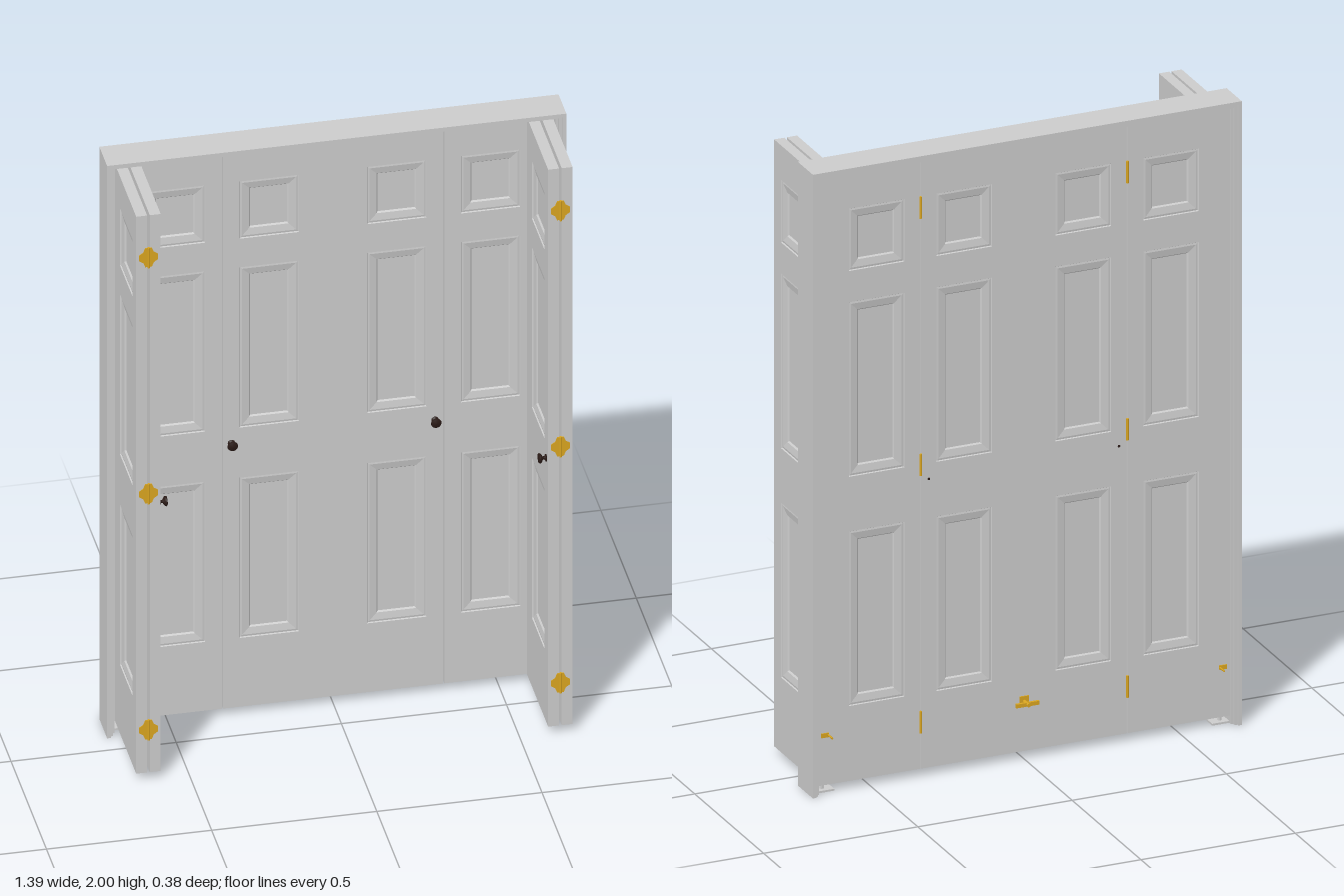
import * as THREE from 'three';

const grey = new THREE.MeshStandardMaterial({ color: 0xcccccc, flatShading: true });
const brass = new THREE.MeshStandardMaterial({ color: 0xd9a520 });
const dark = new THREE.MeshStandardMaterial({ color: 0x2a1a16 });

const LEAF_W = 0.333, Y0 = 0.025, Y1 = 1.971, T = 0.033;
const PANEL_X = [0.05, 0.23];
const PANELS_Y = [[0.265, 0.825], [1.0, 1.56], [1.66, 1.86]];

function add(parent, name, geo, mat, x = 0, y = 0, z = 0) {
  const m = new THREE.Mesh(geo, mat);
  m.name = name;
  m.position.set(x, y, z);
  parent.add(m);
  return m;
}
const box = (w, h, d) => new THREE.BoxGeometry(w, h, d);

function rectPath(P, x0, y0, x1, y1) {
  const p = new P();
  p.moveTo(x0, y0); p.lineTo(x1, y0); p.lineTo(x1, y1); p.lineTo(x0, y1);
  p.closePath();
  return p;
}

// Moulded recess: nested rectangles given as [inset, depth], closed by a flat field
function mouldedPanel(x0, y0, x1, y1) {
  const rings = [[0, 0], [0.002, 0.004], [0.008, 0.003], [0.03, 0.007], [0.034, 0.012]];
  const pos = [], idx = [];
  for (const [i, d] of rings)
    pos.push(x0 + i, y0 + i, -d, x1 - i, y0 + i, -d, x1 - i, y1 - i, -d, x0 + i, y1 - i, -d);
  for (let r = 0; r < rings.length - 1; r++)
    for (let k = 0; k < 4; k++) {
      const a = r * 4 + k, b = r * 4 + (k + 1) % 4;
      idx.push(a, b, b + 4, a, b + 4, a + 4);
    }
  const e = (rings.length - 1) * 4;
  idx.push(e, e + 1, e + 2, e, e + 2, e + 3);
  const g = new THREE.BufferGeometry();
  g.setAttribute('position', new THREE.Float32BufferAttribute(pos, 3));
  g.setIndex(idx);
  const flat = g.toNonIndexed();
  flat.computeVertexNormals();
  return flat;
}

// Door leaf: local x = 0 is the fold edge, both faces panelled
function makeLeaf(name) {
  const leaf = new THREE.Group();
  leaf.name = name;
  const shape = rectPath(THREE.Shape, 0, Y0, LEAF_W, Y1);
  for (const [a, b] of PANELS_Y) shape.holes.push(rectPath(THREE.Path, PANEL_X[0], a, PANEL_X[1], b));
  const core = new THREE.ExtrudeGeometry(shape, { depth: T, bevelEnabled: false });
  add(leaf, 'stilesAndRails', core, grey, 0, 0, -T / 2);
  for (const [a, b] of PANELS_Y) {
    add(leaf, 'raisedPanel', mouldedPanel(PANEL_X[0], a, PANEL_X[1], b), grey, 0, 0, T / 2);
    const back = add(leaf, 'raisedPanel', mouldedPanel(-PANEL_X[1], a, -PANEL_X[0], b), grey, 0, 0, -T / 2);
    back.rotation.y = Math.PI;
  }
  return leaf;
}

// Round knob on a face, with its screw head on the other; dir is the sign of local z
function addKnob(leaf, dir) {
  const profile = [[0, 0], [0.011, 0], [0.011, 0.003], [0.005, 0.006], [0.005, 0.011], [0.013, 0.016],
    [0.016, 0.02], [0.014, 0.024], [0, 0.026]].map(p => new THREE.Vector2(...p));
  const knob = add(leaf, 'knob', new THREE.LatheGeometry(profile, 20), dark, 0.025, 0.95, dir * T / 2);
  knob.rotation.x = dir * Math.PI / 2;
  const screw = add(leaf, 'knobScrew', new THREE.CylinderGeometry(0.004, 0.004, 0.003, 10), dark, 0.025, 0.95, -dir * T / 2);
  screw.rotation.x = Math.PI / 2;
}

// Tapered hinge plate reaching out along +x
function hingePlate() {
  const s = new THREE.Shape();
  s.moveTo(0, -0.033); s.lineTo(0.01, -0.033); s.lineTo(0.016, -0.018); s.lineTo(0.029, -0.009);
  s.lineTo(0.029, 0.009); s.lineTo(0.016, 0.018); s.lineTo(0.01, 0.033); s.lineTo(0, 0.033);
  s.closePath();
  return new THREE.ExtrudeGeometry(s, { depth: 0.002, bevelEnabled: false });
}

function makeSide(name) {
  const side = new THREE.Group();
  side.name = name;

  // Closed pair across the opening
  const inner = makeLeaf('closedInnerLeaf');
  inner.rotation.y = Math.PI;
  inner.position.set(LEAF_W, 0, -0.133);
  addKnob(inner, -1);
  const outer = makeLeaf('closedOuterLeaf');
  outer.position.set(LEAF_W + 0.004, 0, -0.133);
  side.add(inner, outer);

  // Folded pair standing out at the jamb
  const foldIn = makeLeaf('foldedInnerLeaf'), foldOut = makeLeaf('foldedOuterLeaf');
  foldIn.rotation.y = foldOut.rotation.y = Math.PI / 2;
  foldIn.position.set(0.603, 0, 0.184);
  foldOut.position.set(0.644, 0, 0.184);
  addKnob(foldIn, -1);
  side.add(foldIn, foldOut);

  // Hinges on both pairs
  for (const y of [0.175, 1.0, 1.825]) {
    const hinge = new THREE.Group();
    hinge.name = 'foldHinge';
    hinge.position.set(0.6235, y, 0.184);
    add(hinge, 'barrel', new THREE.CylinderGeometry(0.004, 0.004, 0.07, 10), brass, 0, 0, 0.003);
    add(hinge, 'plate', hingePlate(), brass);
    const mirrored = add(hinge, 'plate', hingePlate(), brass, 0, 0, 0.002);
    mirrored.rotation.y = Math.PI;
    side.add(hinge);
    add(side, 'closedHinge', new THREE.CylinderGeometry(0.004, 0.004, 0.07, 10), brass, 0.335, y, -0.151);
  }

  // Floor pivot bracket, top guide pin and jamb catch
  add(side, 'pivotPlate', box(0.075, 0.006, 0.04), grey, 0.65, 0.003, -0.125);
  add(side, 'pivotPin', new THREE.CylinderGeometry(0.006, 0.006, 0.024, 10), grey, 0.645, 0.016, -0.125);
  add(side, 'guidePin', new THREE.CylinderGeometry(0.004, 0.004, 0.014, 10), grey, 0.03, 1.975, -0.133);
  add(side, 'catchPlate', box(0.024, 0.014, 0.004), brass, 0.645, 0.185, -0.151);
  const catchPin = add(side, 'catchPin', new THREE.CylinderGeometry(0.003, 0.003, 0.03, 8), brass, 0.635, 0.185, -0.167);
  catchPin.rotation.x = Math.PI / 2;
  return side;
}

// Three-sided frame open at the floor
function frameBand(hw, top, t, z0, z1) {
  const s = new THREE.Shape();
  [[-hw, 0], [-hw, top], [hw, top], [hw, 0], [hw - t, 0], [hw - t, top - t], [t - hw, top - t], [t - hw, 0]]
    .forEach(([x, y], i) => (i ? s.lineTo(x, y) : s.moveTo(x, y)));
  s.closePath();
  const g = new THREE.ExtrudeGeometry(s, { depth: z1 - z0, bevelEnabled: false });
  return g.translate(0, 0, z0);
}

export function createModel() {
  const model = new THREE.Group();
  model.name = 'foldingDoors';

  // Frame: outer lining with stepped stops inside it
  const frame = new THREE.Group();
  frame.name = 'frame';
  add(frame, 'outerLining', frameBand(0.695, 2.0, 0.011, -0.175, -0.065), grey);
  add(frame, 'middleLining', frameBand(0.684, 1.989, 0.009, -0.168, -0.074), grey);
  add(frame, 'innerStop', frameBand(0.675, 1.98, 0.007, -0.157, -0.09), grey);
  model.add(frame);

  const left = makeSide('leftDoors');
  const right = makeSide('rightDoors');
  right.scale.x = -1;
  model.add(left, right);

  // Latch between the two closed pairs, on the back
  const latch = new THREE.Group();
  latch.name = 'latch';
  latch.position.set(0, 0.185, -0.15);
  add(latch, 'latchPlate', box(0.03, 0.034, 0.004), brass, 0, 0, -0.002);
  const pin = add(latch, 'latchPin', new THREE.CylinderGeometry(0.006, 0.006, 0.038, 10), brass, 0, 0, -0.019);
  pin.rotation.x = Math.PI / 2;
  add(latch, 'latchBar', box(0.075, 0.012, 0.008), brass, 0, 0, -0.026);
  model.add(latch);
  return model;
}
